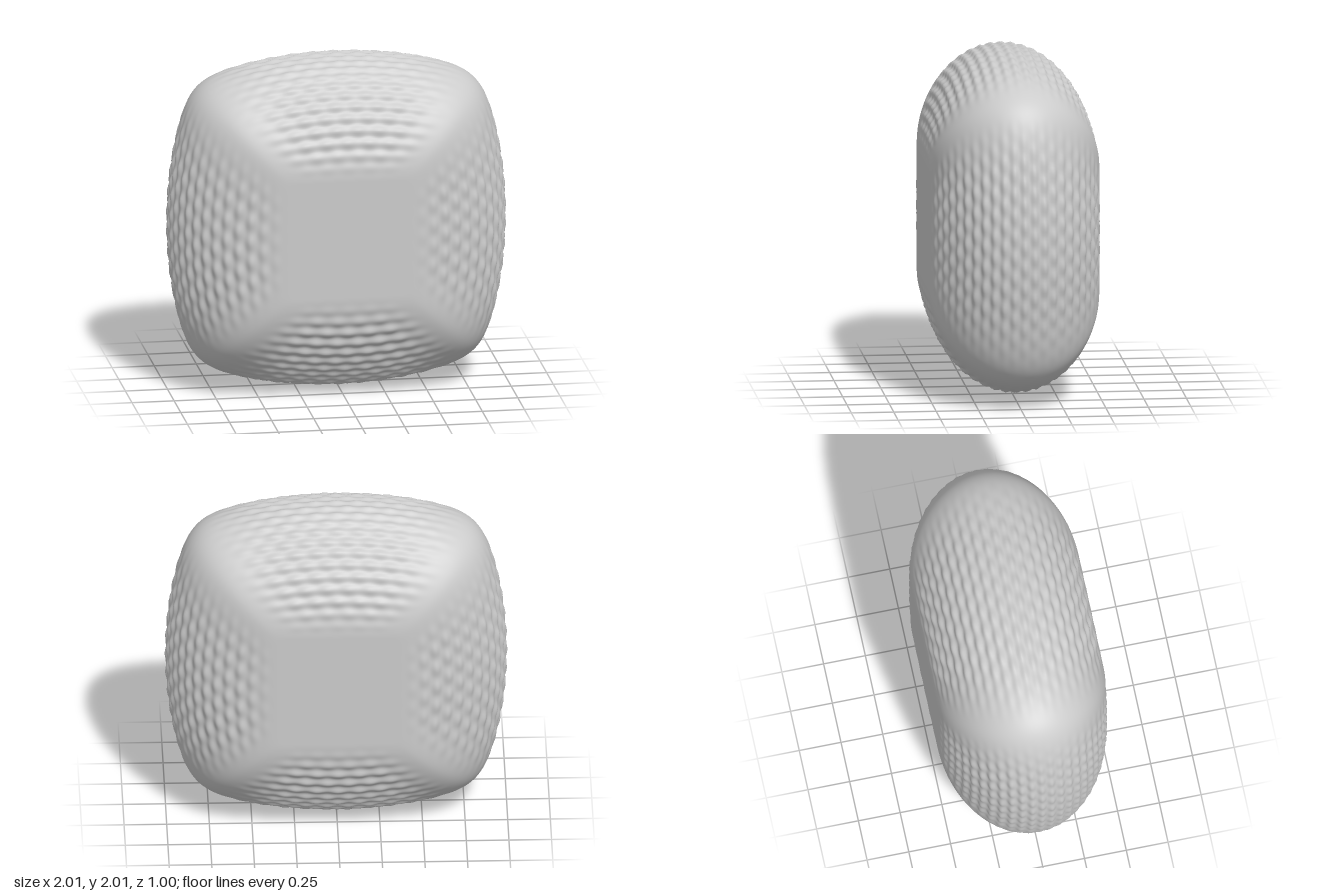
import * as THREE from 'three';

const COLS = 320, ROWS = 200;
const FLAT = 0.35;   // half width of the flat front and back panels
const DEPTH = 0.5;   // half depth

// Distance from the centre to a bulged square (half width h, bow b, corner sharpness p)
function squareRadius(c, s, h, b, p) {
  const side = (along, out) => (2 * h) / (out + Math.sqrt(out * out + 4 * b * h * along * along) + 1e-6);
  const r1 = side(c, Math.abs(s)), r2 = side(s, Math.abs(c));
  return Math.pow(Math.pow(r1, -p) + Math.pow(r2, -p), -1 / p);
}

// Staggered ripples that fade at the corner ridges and at the flat panels
function ripple(along, ratio, phi) {
  const fade = (1 - THREE.MathUtils.smoothstep(ratio, 0.35, 0.92))
    * THREE.MathUtils.smoothstep(Math.cos(phi), 0, 0.4);
  const k = 52, q = (2 * Math.PI) / 0.125;
  return 0.0055 * fade * (Math.cos(k * phi) + 0.8 * Math.cos(k * phi / 2) * Math.cos(q * along) - 0.8);
}

function cushionGeometry() {
  const pos = [], index = [];
  for (let i = 0; i <= ROWS; i++) {
    const phi = (i / ROWS - 0.5) * Math.PI;
    const cp = Math.max(0, Math.cos(phi)), sp = Math.sin(phi);
    const n = new THREE.Vector2(cp / (1 - FLAT), sp / DEPTH).normalize();
    for (let j = 0; j < COLS; j++) {
      const th = (j / COLS) * Math.PI * 2, c = Math.cos(th), s = Math.sin(th);
      const inner = squareRadius(c, s, FLAT, 0, 24);
      const outer = squareRadius(c, s, 1, 0.2, 16);
      const r = inner + (outer - inner) * cp;
      const lo = Math.min(Math.abs(c), Math.abs(s)), hi = Math.max(Math.abs(c), Math.abs(s));
      const d = ripple(r * lo, lo / hi, phi);
      pos.push(c * (r + d * n.x), s * (r + d * n.x), sp * DEPTH + d * n.y);
      if (i < ROWS) {
        const a = i * COLS + j, b = i * COLS + (j + 1) % COLS;
        index.push(a, b, b + COLS, a, b + COLS, a + COLS);
      }
    }
  }
  // Flat back and front panels
  const back = pos.length / 3, front = back + 1, last = ROWS * COLS;
  pos.push(0, 0, -DEPTH, 0, 0, DEPTH);
  for (let j = 0; j < COLS; j++) {
    const k = (j + 1) % COLS;
    index.push(back, k, j, front, last + j, last + k);
  }
  const geo = new THREE.BufferGeometry();
  geo.setAttribute('position', new THREE.Float32BufferAttribute(pos, 3));
  geo.setIndex(index);
  geo.computeVertexNormals();
  return geo;
}

export function createModel() {
  const group = new THREE.Group();
  group.name = 'rippledCushion';
  const body = new THREE.Mesh(cushionGeometry(), new THREE.MeshStandardMaterial({ color: 0xcccccc }));
  body.name = 'cushionBody';
  body.position.y = 1;
  group.add(body);
  return group;
}
